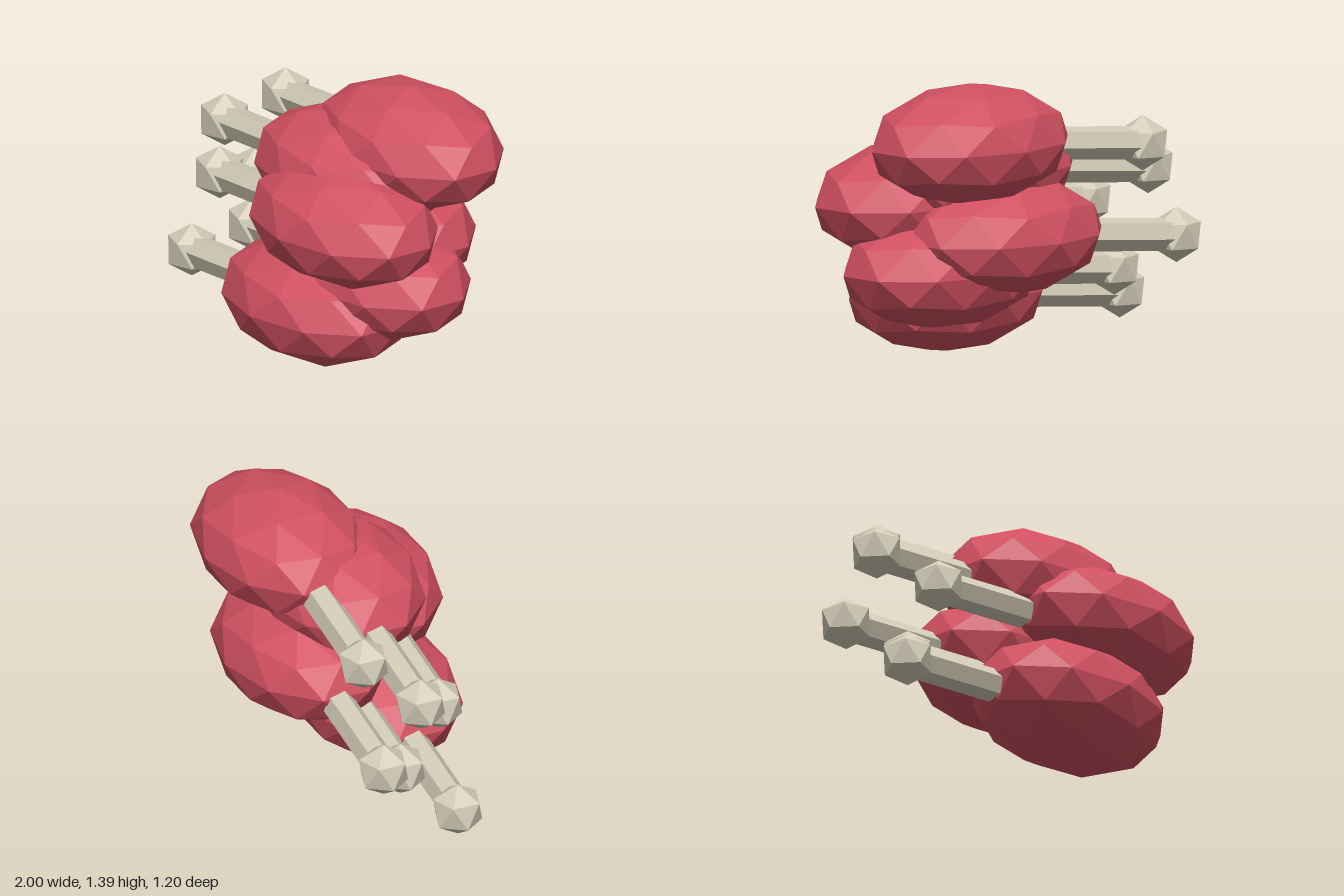
import * as THREE from 'three';

const meatMaterial = new THREE.MeshStandardMaterial({ color: 0xd05060, flatShading: true });
meatMaterial.name = 'red meat';
const boneMaterial = new THREE.MeshStandardMaterial({ color: 0xd3ccb8, flatShading: true });
boneMaterial.name = 'pale bone';

// Faceted ball with a vertex at the top pole
function facetedBall(rx, ry, rz, detail) {
  const ball = new THREE.IcosahedronGeometry(1, detail);
  ball.rotateZ(-Math.atan(2 / (1 + Math.sqrt(5))));
  return ball.scale(rx, ry, rz);
}

function addMesh(parent, name, geometry, material) {
  const mesh = new THREE.Mesh(geometry, material);
  mesh.name = name;
  parent.add(mesh);
  return mesh;
}

const meatGeometry = facetedBall(0.571, 0.297, 0.402, 1);
const knobGeometry = facetedBall(0.135, 0.137, 0.135, 0);

// The bone runs from the knob to the near end of the meat, slightly tilted
const knobPosition = new THREE.Vector3(-1.104, -0.106, -0.067);
const boneEnd = knobPosition.clone().multiplyScalar(0.475);
const shaftVector = boneEnd.clone().sub(knobPosition);
const shaftGeometry = new THREE.CylinderGeometry(0.083, 0.083, shaftVector.length(), 6);
shaftGeometry.rotateY(Math.PI / 4);

function createDrumstick() {
  const drumstick = new THREE.Group();
  addMesh(drumstick, 'meat', meatGeometry, meatMaterial);
  addMesh(drumstick, 'boneKnob', knobGeometry, boneMaterial).position.copy(knobPosition);
  const shaft = addMesh(drumstick, 'boneShaft', shaftGeometry, boneMaterial);
  shaft.position.copy(knobPosition).add(boneEnd).multiplyScalar(0.5);
  shaft.quaternion.setFromUnitVectors(new THREE.Vector3(0, 1, 0), shaftVector.clone().normalize());
  return drumstick;
}

export function createModel() {
  const model = new THREE.Group();
  model.name = 'drumstickPile';
  // Staggered stack: two alternating x offsets, three repeating z offsets
  for (let i = 0; i < 6; i++) {
    const drumstick = createDrumstick();
    drumstick.name = 'drumstick' + (i + 1);
    drumstick.position.set(i % 2 ? 0.453 : 0.225, 0.297 + 0.159 * i, 0.2 - 0.2 * (i % 3));
    model.add(drumstick);
  }
  return model;
}
